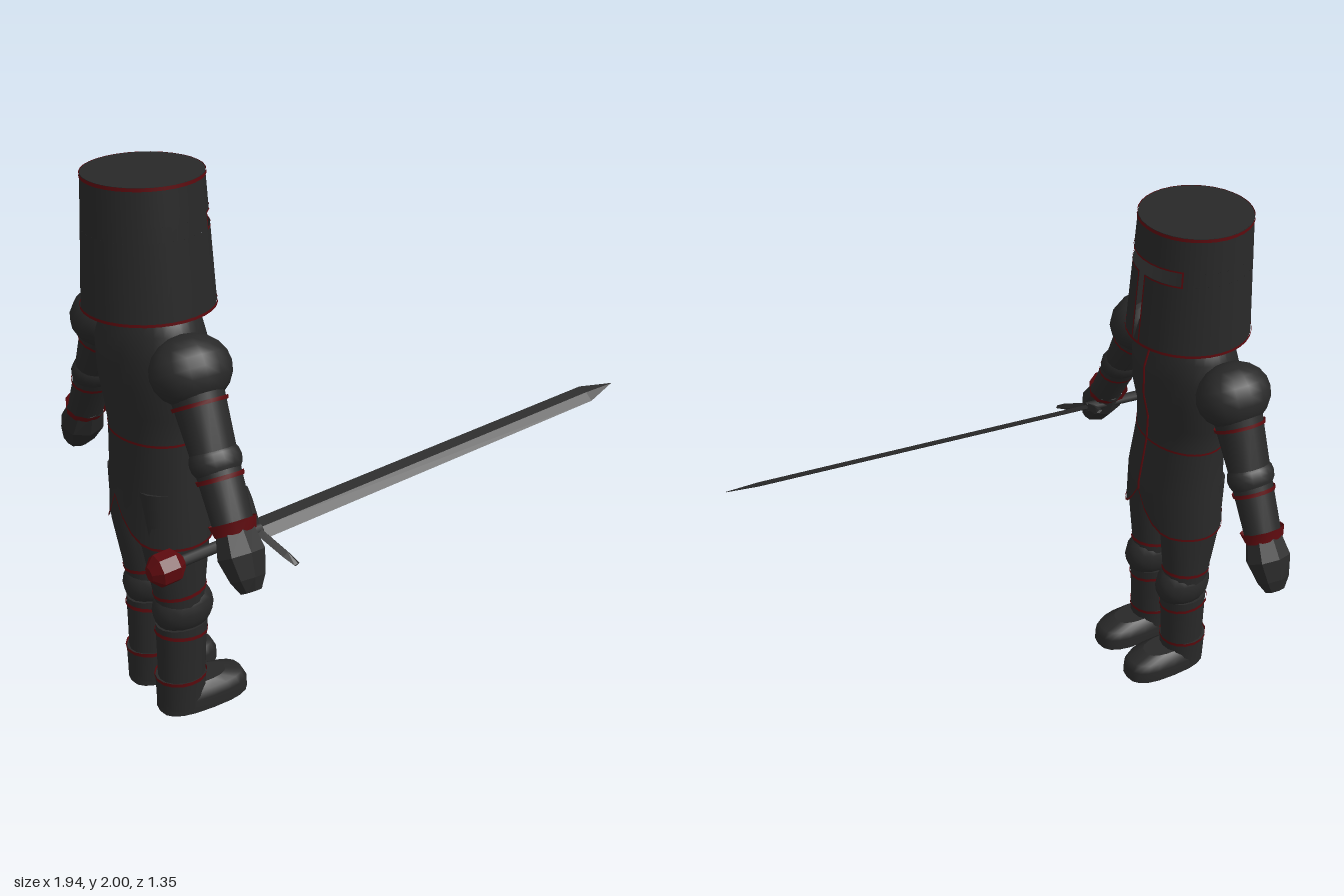
import * as THREE from 'three';

const steel = new THREE.MeshStandardMaterial({ color: 0x282828, side: THREE.DoubleSide });
steel.name = 'darkSteel';
const red = new THREE.MeshStandardMaterial({ color: 0x5c0a0e, side: THREE.DoubleSide });
red.name = 'darkRed';

function add(parent, name, geometry, material) {
  const mesh = new THREE.Mesh(geometry, material);
  mesh.name = name;
  parent.add(mesh);
  return mesh;
}

// Skin over rounded rings, listed upwards as [y, centreX, radiusX, radiusZ]
function loft(levels, { sides = 16, power = 1, caps = true, flat = false, lift = null } = {}) {
  const pos = [], index = [];
  const round = v => Math.sign(v) * Math.abs(v) ** power;
  const ring = ([y, cx, rx, rz]) => {
    for (let j = 0; j < sides; j++) {
      const t = j / sides * Math.PI * 2;
      const z = -rz * round(Math.sin(t));
      pos.push(cx + rx * round(Math.cos(t)), lift ? lift(y, z) : y, z);
    }
  };
  levels.forEach(ring);
  for (let i = 0; i < levels.length - 1; i++) {
    for (let j = 0; j < sides; j++) {
      const a = i * sides + j, b = i * sides + (j + 1) % sides;
      index.push(a, b, b + sides, a, b + sides, a + sides);
    }
  }
  const cap = (level, up) => {
    const start = pos.length / 3;
    ring(level);
    pos.push(level[1], level[0], 0);
    for (let j = 0; j < sides; j++) {
      const a = start + j, b = start + (j + 1) % sides;
      index.push(start + sides, up ? a : b, up ? b : a);
    }
  };
  if (caps) {
    cap(levels[0], false);
    cap(levels[levels.length - 1], true);
  }
  let g = new THREE.BufferGeometry();
  g.setAttribute('position', new THREE.Float32BufferAttribute(pos, 3));
  g.setIndex(index);
  if (flat) g = g.toNonIndexed();
  g.computeVertexNormals();
  return g;
}

function ball(parent, name, x, y, z, rx, ry, rz) {
  const m = add(parent, name, new THREE.SphereGeometry(1, 16, 10), steel);
  m.position.set(x, y, z);
  m.scale.set(rx, ry, rz);
}

function makeHelmet() {
  const g = new THREE.Group();
  g.name = 'helmet';
  g.position.x = -0.66;
  const radius = y => 0.225 - 0.025 * (y - 1.55) / 0.45;
  // Wall sector between two heights and two angles away from the front (+x)
  const wall = (name, y0, y1, from, to, mat, out = 0) => {
    const n = Math.max(1, Math.round((to - from) / 0.19));
    const geo = new THREE.CylinderGeometry(radius(y1) + out, radius(y0) + out, y1 - y0, n, 1, true, Math.PI / 2 + from, to - from);
    add(g, name, geo, mat).position.y = (y0 + y1) / 2;
  };
  const full = Math.PI * 2, eye = 0.79, gap = 0.075;
  wall('upperWall', 1.87, 2, 0, full, steel);
  wall('eyeLevelWall', 1.82, 1.87, eye, full - eye, steel);
  wall('lowerWall', 1.55, 1.82, gap, full - gap, steel);
  const top = add(g, 'crown', new THREE.CircleGeometry(0.2, 32), steel);
  top.rotation.x = -Math.PI / 2;
  top.position.y = 2;
  // Red edging
  wall('topRim', 1.988, 2, 0, full, red, 0.003);
  wall('bottomRim', 1.547, 1.557, 0, full, red, 0.003);
  wall('eyeSlitTopEdge', 1.87, 1.876, -eye, eye, red, 0.002);
  for (const s of [-1, 1]) {
    const strip = (name, y0, y1, a, b) => wall(name, y0, y1, Math.min(s * a, s * b), Math.max(s * a, s * b), red, 0.002);
    strip('eyeSlitBottomEdge', 1.814, 1.82, gap, eye);
    strip('eyeSlitEndEdge', 1.814, 1.876, eye, eye + 0.03);
    strip('breathSlitEdge', 1.55, 1.82, gap, gap + 0.03);
  }
  return g;
}

function makeTorso() {
  const g = new THREE.Group();
  g.name = 'tunic';
  const levels = [
    [0.71, -0.655, 0.17, 0.222], [0.9, -0.65, 0.166, 0.213], [1.1, -0.66, 0.15, 0.198], [1.2, -0.665, 0.155, 0.21],
    [1.3, -0.66, 0.174, 0.228], [1.42, -0.658, 0.178, 0.233], [1.5, -0.656, 0.155, 0.22], [1.545, -0.655, 0.136, 0.185],
  ];
  // Skirt opening rises to a point at the middle of front and back
  const lift = (y, z) => y < 0.8 ? y + 0.16 * Math.max(0, 1 - Math.abs(z) / 0.17) ** 2 : y;
  const body = { sides: 32, caps: false, lift };
  add(g, 'body', loft(levels, body), steel);
  add(g, 'shoulderTop', loft([levels[7], [1.56, -0.655, 0.09, 0.1]], { sides: 32 }), steel);
  add(g, 'neck', loft([[1.54, -0.655, 0.085, 0.085], [1.62, -0.655, 0.085, 0.085]]), steel);
  const band = (name, y, h, [, cx, rx, rz]) =>
    add(g, name, loft([[y, cx, rx + 0.003, rz + 0.003], [y + h, cx, rx + 0.003, rz + 0.003]], body), red);
  band('hem', 0.708, 0.01, levels[0]);
  band('waistLine', 1.096, 0.009, levels[2]);
  band('collar', 1.535, 0.01, levels[7]);
  const seam = new THREE.CurvePath();
  const front = levels.map(([y, cx, rx]) => new THREE.Vector3(cx + rx, y < 0.8 ? 0.87 : y, 0));
  for (let i = 1; i < front.length; i++) seam.add(new THREE.LineCurve3(front[i - 1], front[i]));
  add(g, 'frontSeam', new THREE.TubeGeometry(seam, 40, 0.005, 5), red);
  return g;
}

// Arm hangs along local -y from the shoulder
function makeArm(side) {
  const g = new THREE.Group();
  g.name = side > 0 ? 'swordArm' : 'freeArm';
  g.position.set(-0.67, 1.41, side * 0.29);
  g.rotation.x = -side * 0.5;
  const open = { caps: false };
  ball(g, 'shoulder', 0, 0, 0, 0.142, 0.12, 0.115);
  add(g, 'upperArm', loft([[-0.28, 0, 0.08, 0.062], [-0.06, 0, 0.092, 0.085]]), steel);
  add(g, 'upperArmBand', loft([[-0.118, 0, 0.095, 0.087], [-0.105, 0, 0.097, 0.089]], open), red);
  ball(g, 'elbow', 0, -0.3, 0, 0.092, 0.075, 0.07);
  add(g, 'forearm', loft([[-0.53, 0, 0.07, 0.055], [-0.32, 0, 0.078, 0.062]]), steel);
  add(g, 'forearmBand', loft([[-0.365, 0, 0.082, 0.066], [-0.35, 0, 0.084, 0.068]], open), red);
  add(g, 'cuff', loft([[-0.54, 0, 0.074, 0.06], [-0.5, 0, 0.084, 0.076]], { caps: false, sides: 10 }), red);
  add(g, 'hand', loft([[-0.735, 0, 0.04, 0.028], [-0.69, 0, 0.065, 0.055], [-0.61, 0, 0.088, 0.074], [-0.52, 0, 0.068, 0.058]],
    { sides: 8, flat: true }), steel);
  return g;
}

function makeLeg(side) {
  const g = new THREE.Group();
  g.name = side > 0 ? 'swordSideLeg' : 'freeSideLeg';
  g.position.z = side * 0.113;
  const open = { caps: false };
  add(g, 'thigh', loft([[0.42, -0.65, 0.09, 0.08], [0.52, -0.655, 0.1, 0.083], [0.7, -0.66, 0.128, 0.088], [0.92, -0.66, 0.13, 0.09]]), steel);
  ball(g, 'knee', -0.643, 0.42, 0, 0.117, 0.105, 0.087);
  add(g, 'shin', loft([[0.1, -0.66, 0.088, 0.078], [0.25, -0.655, 0.092, 0.08], [0.36, -0.65, 0.098, 0.08]]), steel);
  for (const [y, r] of [[0.5, 0.101], [0.325, 0.1]]) {
    const b = add(g, 'kneeBand', loft([[-0.007, 0, r, 0.085], [0.007, 0, r, 0.085]], open), red);
    b.position.set(-0.653, y, 0);
    b.rotation.z = y > 0.4 ? 0.1 : -0.1;
  }
  add(g, 'bootShaft', loft([[0.02, -0.663, 0.092, 0.086], [0.14, -0.663, 0.094, 0.088]]), steel);
  add(g, 'bootRim', loft([[0.132, -0.663, 0.096, 0.09], [0.147, -0.663, 0.098, 0.091]], open), red);
  add(g, 'bootFoot', loft([[0, -0.577, 0.177, 0.088], [0.05, -0.577, 0.176, 0.087], [0.08, -0.583, 0.166, 0.077], [0.1, -0.61, 0.125, 0.055]],
    { sides: 20, power: 0.75 }), steel);
  return g;
}

function makeSword() {
  const g = new THREE.Group();
  g.name = 'sword';
  g.position.set(-0.56, 0.905, 0.525);
  g.rotation.set(0.47, 0, 0.088, 'ZYX');
  const alongX = m => { m.rotation.z = -Math.PI / 2; return m; };
  alongX(add(g, 'blade', loft([[0, 0, 0.009, 0.041], [1.41, 0, 0.008, 0.037], [1.535, 0, 0.001, 0.001]], { sides: 4, flat: true }), steel));
  alongX(add(g, 'grip', new THREE.CylinderGeometry(0.02, 0.02, 0.32, 8), steel)).position.x = -0.16;
  alongX(add(g, 'pommel', loft([[-0.415, 0, 0.025, 0.025], [-0.385, 0, 0.056, 0.056], [-0.325, 0, 0.056, 0.056], [-0.295, 0, 0.025, 0.025]],
    { sides: 8, flat: true }), red));
  // Guard arms sweep towards the blade
  for (const s of [-1, 1]) {
    const arm = add(g, 'guardArm', loft([[0, 0, 0.019, 0.016], [0.13, 0, 0.018, 0.015], [0.178, 0, 0.013, 0.006]], { sides: 4, flat: true, power: 0.6 }), steel);
    arm.position.x = -0.015;
    arm.quaternion.setFromUnitVectors(new THREE.Vector3(0, 1, 0), new THREE.Vector3(0.3, 0, s).normalize());
  }
  return g;
}

export function createModel() {
  const model = new THREE.Group();
  model.name = 'armouredKnight';
  model.add(makeHelmet(), makeTorso(), makeSword());
  for (const side of [1, -1]) model.add(makeArm(side), makeLeg(side));
  return model;
}
